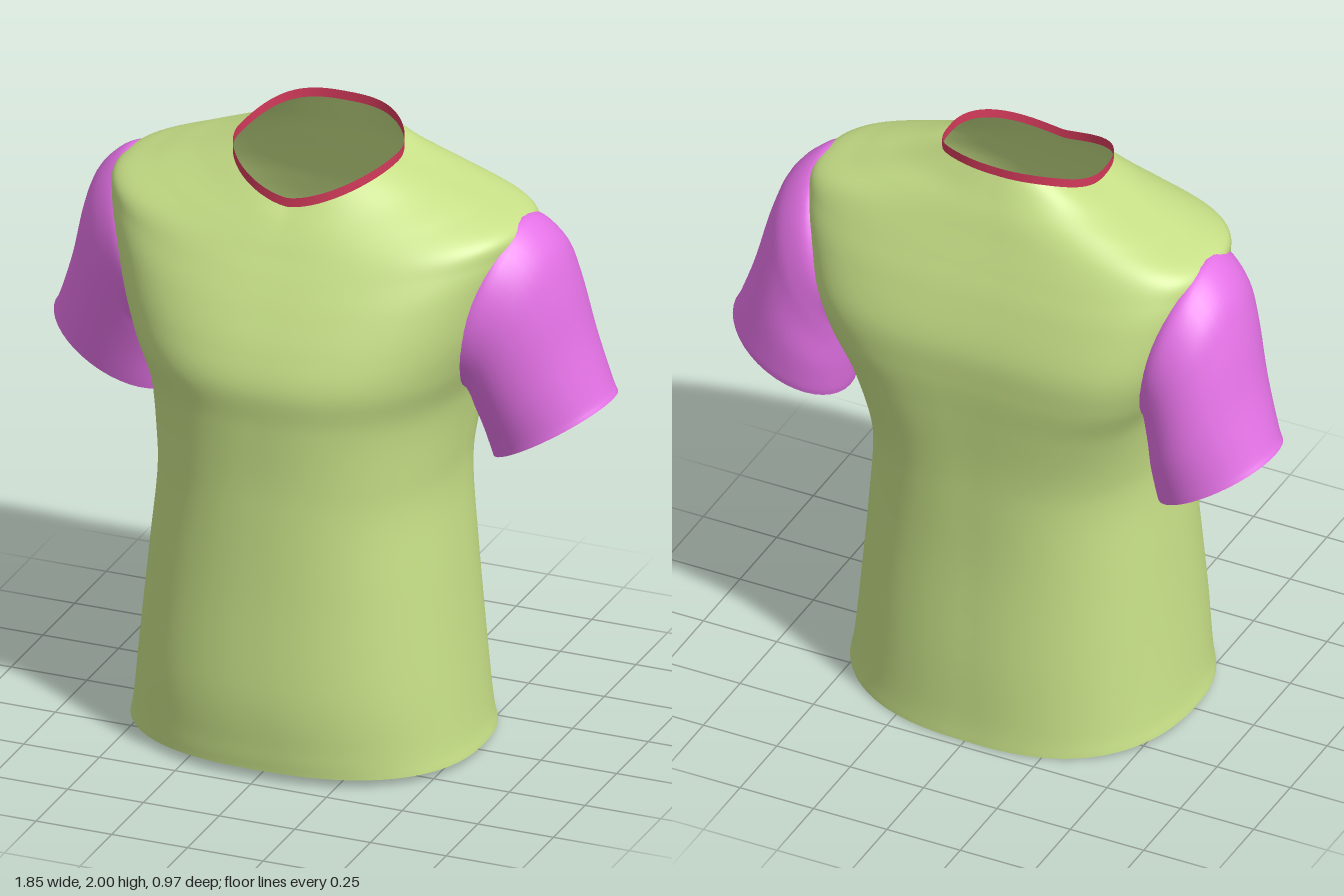
import * as THREE from 'three';

const fabric = (color) => new THREE.MeshStandardMaterial({ color, side: THREE.DoubleSide });

// Skin a closed-ring surface: point(u, angle) with u from 0 to 1; skip drops triangles by centroid
function loft(point, rows, segs, skip) {
  const pos = [], index = [];
  for (let r = 0; r <= rows; r++) {
    for (let i = 0; i < segs; i++) pos.push(...point(r / rows, (i / segs) * Math.PI * 2));
  }
  for (let r = 0; r < rows; r++) {
    for (let i = 0; i < segs; i++) {
      const a = r * segs + i, b = r * segs + (i + 1) % segs;
      index.push(a, a + segs, b, b, a + segs, b + segs);
    }
  }
  const g = new THREE.BufferGeometry();
  g.setAttribute('position', new THREE.Float32BufferAttribute(pos, 3));
  g.setIndex(index);
  g.computeVertexNormals();
  if (skip) {
    const kept = [];
    for (let i = 0; i < index.length; i += 3) {
      const tri = index.slice(i, i + 3);
      const c = [0, 1, 2].map((k) => tri.reduce((s, v) => s + pos[v * 3 + k], 0) / 3);
      if (!skip(...c)) kept.push(...tri);
    }
    g.setIndex(kept);
  }
  return g;
}

const curve = (pts) => new THREE.CatmullRomCurve3(
  pts.map((p) => new THREE.Vector3(...p)), false, 'catmullrom', 0.5);

// Torso guides from hem to neck. Side: half width, y, z
const side = curve([
  [0.56, 0.02, 0], [0.546, 0.09, 0], [0.525, 0.28, 0], [0.492, 0.6, 0], [0.467, 0.85, -0.01],
  [0.472, 1.0, -0.03], [0.5, 1.18, -0.08], [0.555, 1.32, -0.1], [0.603, 1.45, -0.1],
  [0.645, 1.6, -0.1], [0.668, 1.69, -0.09], [0.66, 1.757, -0.08], [0.53, 1.81, -0.07],
  [0.39, 1.86, -0.055], [0.262, 1.91, -0.04],
]);
// Front and back: roundness exponent, y, z
const front = curve([
  [2.3, 0.03, 0.46], [2.3, 0.1, 0.468], [2.3, 0.28, 0.48], [2.3, 0.6, 0.466], [2.3, 0.85, 0.46],
  [2.35, 1.0, 0.46], [2.4, 1.18, 0.47], [2.45, 1.31, 0.48], [2.45, 1.42, 0.448],
  [2.4, 1.53, 0.395], [2.3, 1.62, 0.345], [2.2, 1.68, 0.308], [2.1, 1.73, 0.277],
  [2, 1.775, 0.245], [2.1, 1.815, 0.21],
]);
const back = curve([
  [2.3, 0, -0.47], [2.3, 0.08, -0.465], [2.3, 0.28, -0.46], [2.4, 0.6, -0.445], [2.5, 0.85, -0.445],
  [2.7, 1.0, -0.45], [3.2, 1.18, -0.465], [3.7, 1.32, -0.476], [3.8, 1.45, -0.473],
  [3.6, 1.6, -0.43], [3.3, 1.7, -0.39], [2.9, 1.78, -0.355], [2.5, 1.85, -0.325],
  [2.2, 1.91, -0.295], [2.2, 1.97, -0.265],
]);

function torsoPoint(u, t) {
  const c = Math.cos(t), s = Math.sin(t);
  const S = side.getPoint(u), E = (s >= 0 ? front : back).getPoint(u);
  const w = 1 - Math.abs(c) ** (s >= 0 ? 1.4 : 3.5);
  const x = S.x * Math.sign(c) * Math.abs(c) ** (2 / E.x);
  // The right shoulder blade sits a little further back
  const twist = 0.045 * Math.min(x, 0) * Math.max(-s, 0);
  return [x, S.y + (E.y - S.y) * w, S.z + (E.z - S.z) * Math.abs(s) ** (2 / E.x) + twist];
}

// Sleeve guides from armhole to cuff: outer edge, inner edge, and z centre with half depth
const outer = curve([[0.6, 1.735, 0], [0.66, 1.765, 0], [0.75, 1.69, 0], [0.8, 1.57, 0],
  [0.85, 1.38, 0], [0.905, 1.22, 0], [0.925, 1.18, 0]]);
const inner = curve([[0.46, 1.18, 0], [0.5, 1.19, 0], [0.507, 1.16, 0], [0.513, 1.12, 0],
  [0.525, 1.06, 0], [0.54, 0.985, 0], [0.548, 0.955, 0]]);
const depth = curve([[-0.085, 0.25, 0], [-0.098, 0.264, 0], [-0.113, 0.258, 0], [-0.123, 0.247, 0],
  [-0.14, 0.23, 0], [-0.15, 0.207, 0], [-0.15, 0.2, 0]]);

function sleevePoint(u, t, sx) {
  const o = outer.getPoint(u), n = inner.getPoint(u), d = depth.getPoint(u);
  const c = Math.cos(t), s = Math.sin(t);
  // The right sleeve hangs slightly further back
  const swing = sx < 0 ? -0.018 - 0.03 * u : 0;
  return [
    sx * ((o.x + n.x) / 2 + (o.x - n.x) / 2 * c),
    (o.y + n.y) / 2 + (o.y - n.y) / 2 * c,
    d.x + swing - sx * d.y * s,
  ];
}

export function createModel() {
  const group = new THREE.Group();
  const add = (name, geometry, material) => {
    const mesh = new THREE.Mesh(geometry, material);
    mesh.name = name;
    group.add(mesh);
  };

  // Body, open at hem, neck and both armholes
  const armhole = (x, y, z) => {
    const zc = x < 0 ? -0.115 : -0.1;
    return Math.abs(x) > 0.42 && ((z - zc) / 0.24) ** 2 + ((y - 1.472) / 0.262) ** 2 < 1;
  };
  add('body', loft(torsoPoint, 140, 160, armhole), fabric(0xc6df86));

  // Sleeves, starting just inside the body so the seams meet
  const sleeveCloth = fabric(0xe472e6);
  for (const [name, sx] of [['leftSleeve', 1], ['rightSleeve', -1]]) {
    add(name, loft((u, t) => sleevePoint(u, t, sx), 30, 40), sleeveCloth);
  }

  // Collar: an upright band on the neck opening
  const band = (u, t) => {
    const [x, y, z] = torsoPoint(1, t);
    return [x, y + 0.03 * u, z];
  };
  add('collar', loft(band, 1, 160), fabric(0xd23a5a));

  return group;
}
